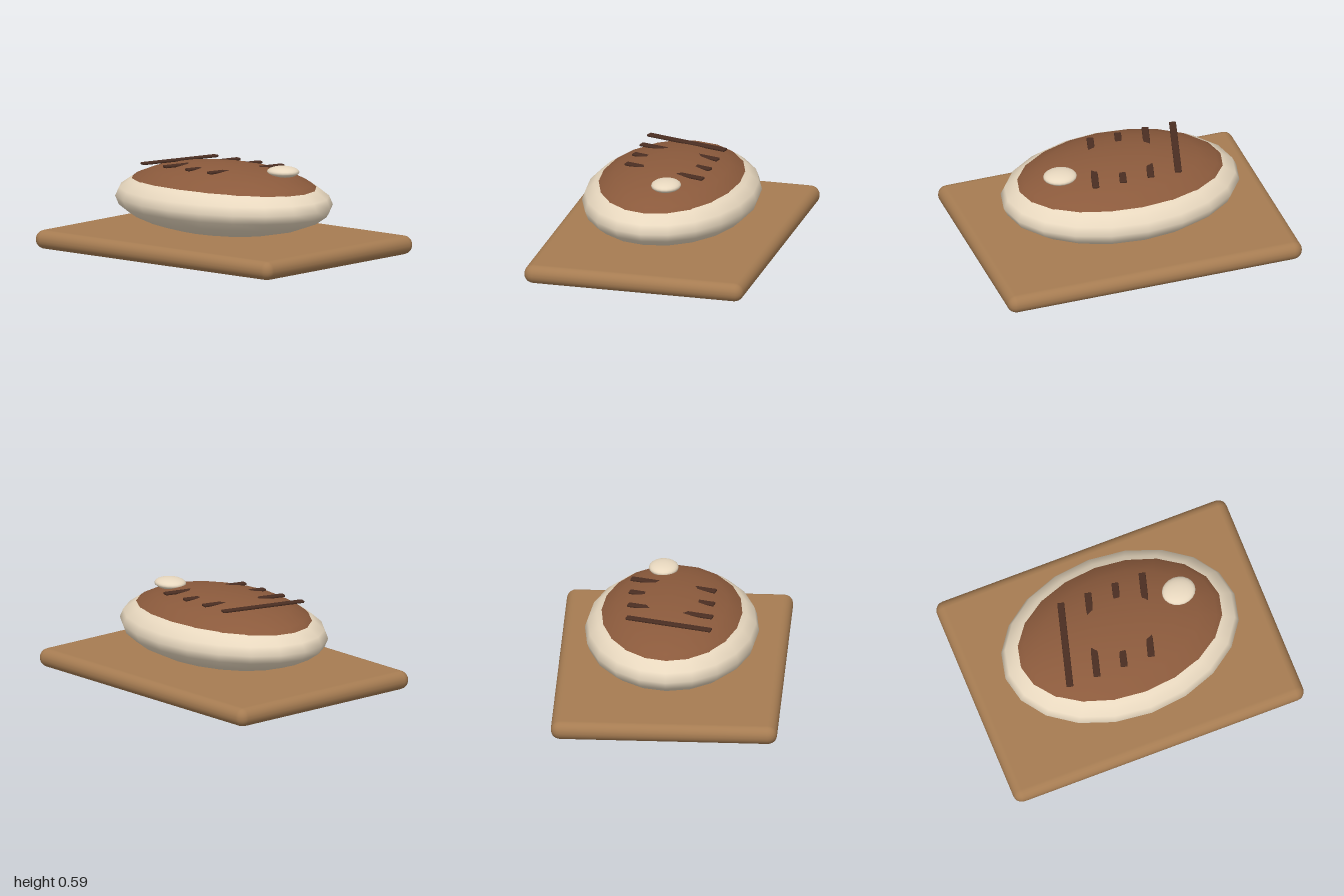
import * as THREE from 'three';
import { RoundedBoxGeometry } from 'three/addons/geometries/RoundedBoxGeometry.js';

const paint = (color) => new THREE.MeshStandardMaterial({ color });

export function createModel() {
  const model = new THREE.Group();
  const wood = paint(0xa67c52);
  const fat = paint(0xe8d8bf);
  const meat = paint(0x8b5a3c);
  const char = paint(0x4a2e22);

  const add = (name, geometry, material, x, y, z) => {
    const mesh = new THREE.Mesh(geometry, material);
    mesh.name = name;
    mesh.position.set(x, y, z);
    model.add(mesh);
    return mesh;
  };
  // Flattened sphere with the given half sizes
  const ellipsoid = (rx, ry, rz, sides, rings) =>
    new THREE.SphereGeometry(1, sides, rings).scale(rx, ry, rz);

  // Cutting board with rounded edges
  add('board', new RoundedBoxGeometry(2, 0.122, 1.455, 3, 0.06), wood, 0, 0.061, 0);

  // Steak: pale fat rim with the meat bulging out of its top
  add('fatRim', ellipsoid(0.79, 0.215, 0.56, 20, 12), fat, 0, 0.335, 0);
  add('meat', ellipsoid(0.745, 0.22, 0.51, 20, 12), meat, 0, 0.36, 0);

  // Bone showing at one end
  add('bone', ellipsoid(0.11, 0.036, 0.096, 20, 12), fat, 0.435, 0.556, -0.077);

  // Slanted grill marks, partly sunk into the meat
  for (let i = 0; i < 4; i++) {
    const mark = add('grillMark', new RoundedBoxGeometry(0.045, 0.016, 0.575, 2, 0.006), char,
      -0.377 + i * 0.187, 0.556, 0);
    mark.rotation.y = -0.27;
  }

  return model;
}
